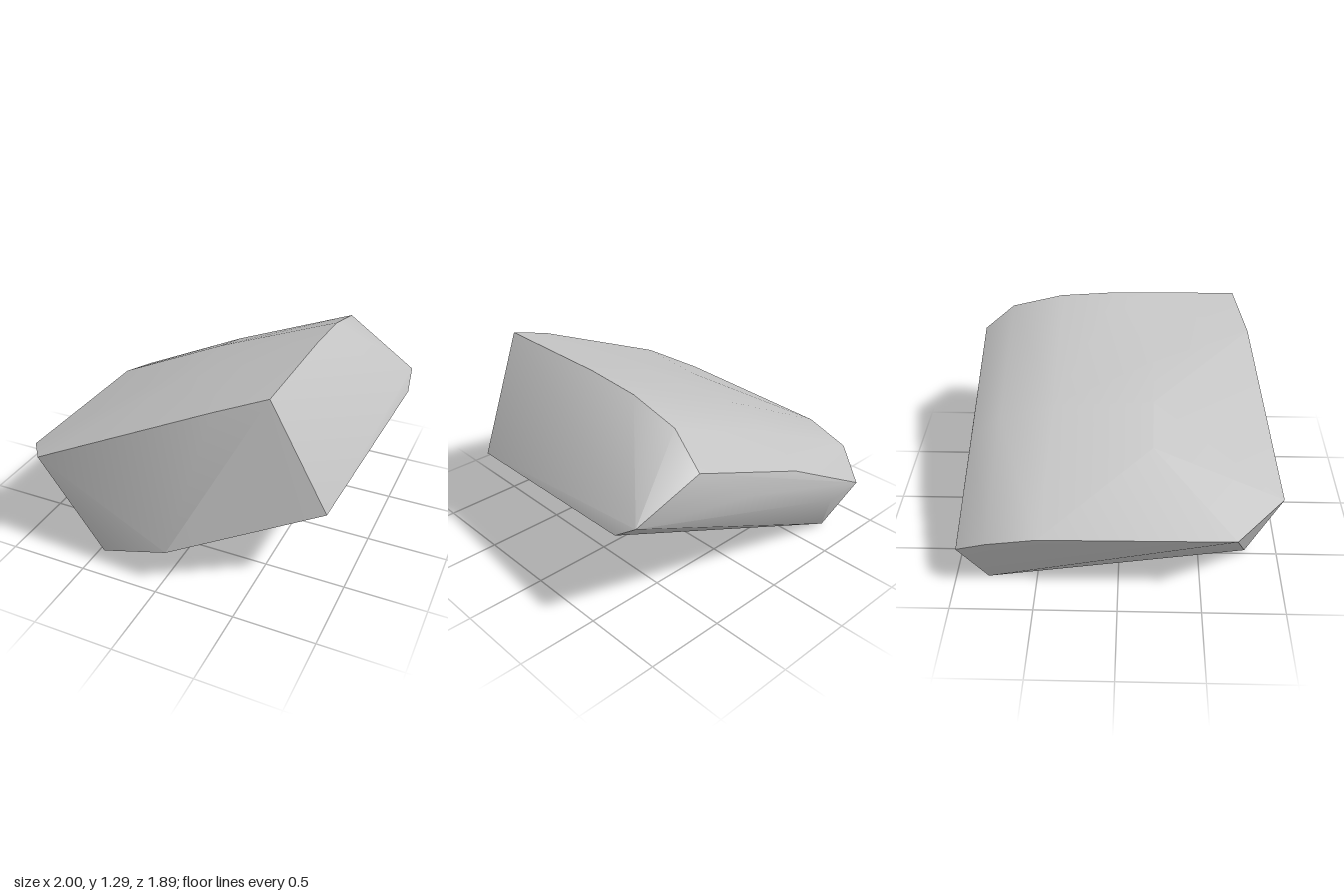
import * as THREE from 'three';
import { ConvexGeometry } from 'three/addons/geometries/ConvexGeometry.js';
import { toCreasedNormals } from 'three/addons/utils/BufferGeometryUtils.js';

export function createModel() {
  const group = new THREE.Group();
  group.name = 'rock';
  const stone = new THREE.MeshStandardMaterial({ color: 0xc4c4c4 });
  stone.name = 'stone grey';

  // Corners of the tilted slab, grouped by the region they shape
  const corners = [
    // front face
    [-0.78, 0.70, 0.94], [-0.47, 0, 0.8], [0.05, 0.27, 0.945], [0.9, 0.59, 0.63],
    [0.575, 1.29, 0.71], [0.28, 1.18, 0.79],
    // upper right ridge, curving down towards the back
    [0.575, 1.285, -0.05], [0.575, 1.26, -0.4], [0.575, 1.18, -0.72], [0.59, 1.0, -0.92],
    // right back corner
    [0.98, 0.81, -0.86], [1.0, 0.71, -0.72],
    // left edge
    [-1, 0.58, 0.67], [-0.99, 0.56, -0.45], [-0.96, 0.49, -0.75],
    // back and foot
    [-0.85, 0.34, -0.95], [-0.59, 0.32, -0.945], [0.2, 0.7, -0.94], [-0.73, 0, -0.8],
    // gentle bulge of the top, rounding over to the back
    [-0.5, 0.84, 0.2], [-0.22, 0.968, 0.2], [0.05, 1.085, 0.2],
    [-0.22, 0.94, -0.4], [-0.22, 0.85, -0.73], [-0.22, 0.68, -0.925],
  ].map((p) => new THREE.Vector3(...p));

  // Soft shading over rounded areas, hard edges between the broken faces
  const geometry = toCreasedNormals(new ConvexGeometry(corners), THREE.MathUtils.degToRad(32));
  const slab = new THREE.Mesh(geometry, stone);
  slab.name = 'stoneSlab';
  group.add(slab);
  return group;
}
